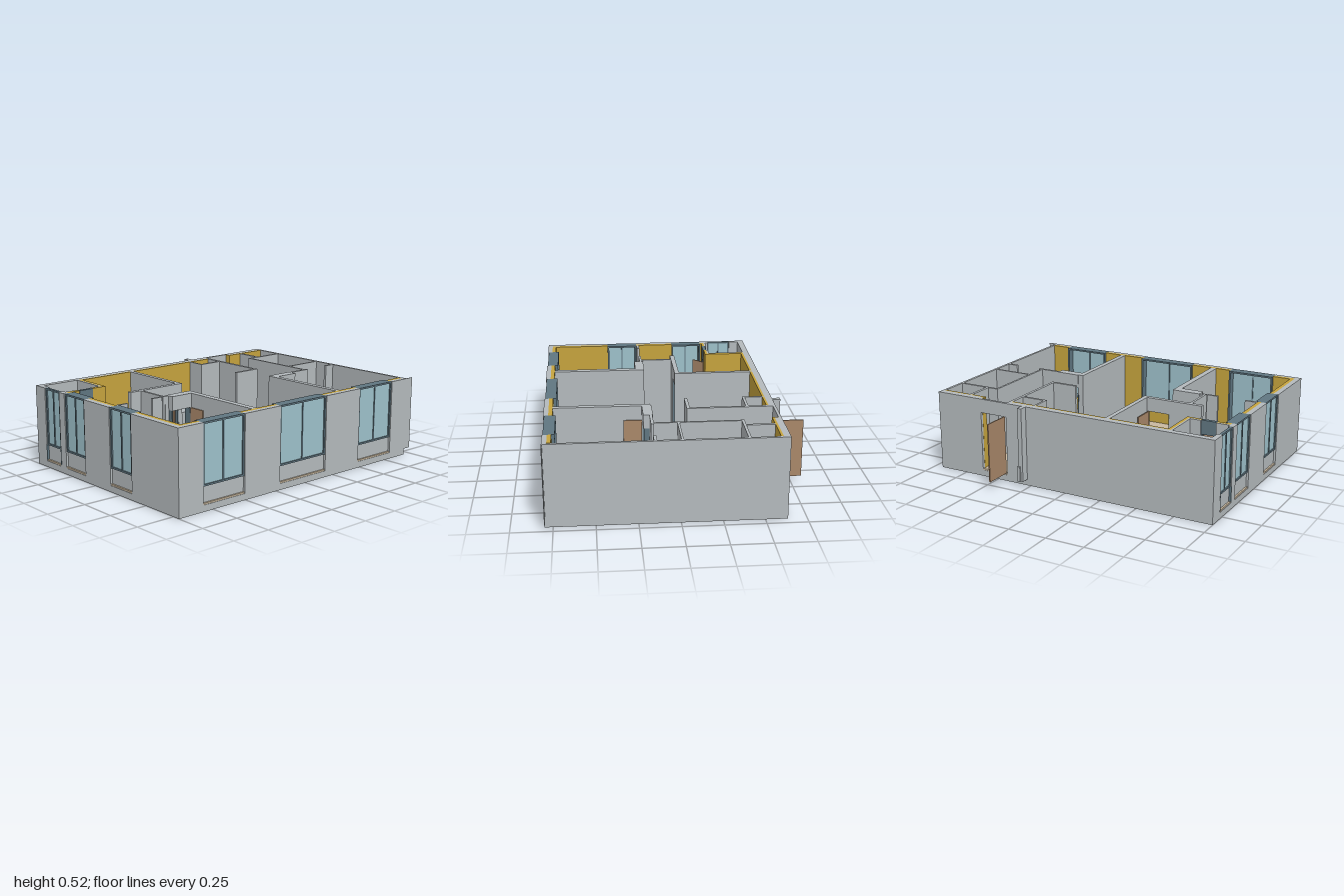
import * as THREE from 'three';

const mat = (name, color) => {
  const m = new THREE.MeshStandardMaterial({ color });
  m.name = name;
  return m;
};

const FLOOR = 0.05, TOP = 0.52, HEAD = 0.43, SILL = 0.147;

export function createModel() {
  const concrete = mat('concrete grey', 0xb4babd);
  const insulation = mat('insulation yellow', 0xc6a43e);
  const flooring = mat('floor tan', 0xc9b9a0);
  const glass = mat('window glass', 0x9ec1cb);
  const frame = mat('frame slate', 0x607681);
  const wood = mat('door brown', 0xa9886a);

  const model = new THREE.Group();
  model.name = 'apartment';

  // Box given by its limits on each axis
  function box(parent, name, material, x0, x1, y0, y1, z0, z1) {
    const mesh = new THREE.Mesh(new THREE.BoxGeometry(x1 - x0, y1 - y0, z1 - z0), material);
    mesh.position.set((x0 + x1) / 2, (y0 + y1) / 2, (z0 + z1) / 2);
    mesh.name = name;
    parent.add(mesh);
    return mesh;
  }

  function group(name, parent = model) {
    const g = new THREE.Group();
    g.name = name;
    parent.add(g);
    return g;
  }

  // Two-pane window facing local +z
  function windowUnit(parent, x0, x1, front, depth) {
    const g = group('window', parent);
    const t = 0.011, back = front - depth, mid = (x0 + x1) / 2;
    box(g, 'windowHead', frame, x0, x1, TOP - t, TOP, back, front);
    box(g, 'windowSill', frame, x0, x1, SILL, SILL + t, back, front);
    box(g, 'windowJamb', frame, x0, x0 + t, SILL + t, TOP - t, back, front);
    box(g, 'windowJamb', frame, x1 - t, x1, SILL + t, TOP - t, back, front);
    box(g, 'mullion', frame, mid - 0.004, mid + 0.004, SILL + t, TOP - t, front - 0.022, front - 0.003);
    box(g, 'pane', glass, x0 + t, x1 - t, SILL + t, TOP - t, front - 0.016, front - 0.008);
  }

  // Outer wall facing local +z: solid piers between openings, a recessed panel under each window
  function facade(g, from, to, outer, thick, lining, openings) {
    let x = from;
    for (const [a, b] of [...openings, [to, to]]) {
      box(g, 'pier', concrete, x, a, 0.04, TOP, outer - thick, outer);
      const l0 = Math.max(x, lining[0]), l1 = Math.min(a, lining[1]);
      if (l1 > l0) box(g, 'insulation', insulation, l0, l1, FLOOR, TOP, outer - thick - 0.025, outer - thick);
      if (b > a) {
        const lined = a >= lining[0];
        box(g, 'parapet', concrete, a, b, FLOOR, SILL, outer - thick, outer - 0.014);
        if (lined) box(g, 'parapetInsulation', insulation, a, b, FLOOR, SILL, outer - thick - 0.025, outer - thick);
        windowUnit(g, a, b, outer - 0.005, lined ? 0.07 : 0.018);
      }
      x = b;
    }
  }

  // Slab and floor finishes
  box(model, 'slab', concrete, -0.635, 0.8, 0, 0.04, -0.945, 1);
  box(model, 'floor', flooring, -0.632, 0.797, 0.04, FLOOR, -0.942, 0.997);
  box(model, 'bathroomFloor', concrete, -0.388, -0.01, FLOOR, 0.056, -0.927, -0.657);

  // Window walls
  facade(group('frontWall'), -0.635, 0.8, 1, 0.035, [-0.33, 0.77],
    [[-0.53, -0.37], [-0.31, -0.1], [0.16, 0.37]]);
  const side = group('leftWall');
  side.rotation.y = Math.PI / 2;
  facade(side, -0.965, 0.945, 0.8, 0.03, [-0.94, 0.925],
    [[-0.82, -0.505], [-0.22, 0.175], [0.48, 0.795]]);
  box(model, 'wallFin', concrete, 0.795, 0.8, 0.04, TOP, -1, -0.945);

  // Blind walls and entrance
  box(model, 'backWall', concrete, -0.635, 0.77, 0.04, TOP, -0.945, -0.927);
  box(model, 'rightWall', concrete, -0.635, -0.593, 0.04, TOP, -0.927, -0.615);
  box(model, 'rightWall', concrete, -0.635, -0.593, 0.04, TOP, -0.425, 0.965);
  box(model, 'entranceLintel', concrete, -0.635, -0.617, HEAD, TOP, -0.615, -0.425);
  box(model, 'entranceReveal', insulation, -0.617, -0.577, FLOOR, TOP, -0.624, -0.614);
  for (const [a, b] of [[-0.927, -0.624], [-0.405, -0.24], [-0.24, 0.26], [0.29, 0.68]])
    box(model, 'rightInsulation', insulation, -0.593, -0.578, FLOOR, TOP, a, b);
  box(model, 'entranceFin', concrete, -0.685, -0.635, 0.04, TOP, -0.305, -0.275);
  box(model, 'finFoot', concrete, -0.695, -0.675, 0.04, 0.14, -0.31, -0.29);

  // Interior partitions: x0, x1, z0, z1
  const partitions = [
    [-0.593, -0.405, -0.737, -0.717], [-0.405, -0.388, -0.927, -0.645],
    [-0.388, 0, -0.66, -0.645], [-0.014, 0, -0.927, -0.66],
    [0, 0.145, -0.66, -0.645], [0.14, 0.158, -0.675, -0.515],
    [0.14, 0.158, -0.927, -0.857], [0.14, 0.745, -0.355, -0.32],
    [-0.593, -0.08, -0.425, -0.405], [-0.1, -0.08, -0.405, -0.235],
    [-0.467, -0.45, -0.405, -0.235], [-0.593, -0.467, -0.248, -0.235],
    [-0.593, -0.065, 0.26, 0.29], [-0.095, -0.065, 0.45, 0.67],
    [-0.065, 0.155, 0.577, 0.593], [0.137, 0.745, 0.36, 0.4],
    [0.142, 0.158, 0.55, 0.577], [0.142, 0.158, 0.6, 0.675],
    [0.142, 0.158, 0.86, 0.94],
  ];
  const inner = group('partitions');
  for (const [x0, x1, z0, z1] of partitions)
    box(inner, 'partition', concrete, x0, x1, FLOOR, TOP, z0, z1);

  // Interior doorways: lintel with frame posts
  for (const [x0, x1, z0, z1] of [
    [0.135, 0.195, -0.515, -0.355], [0.135, 0.195, 0.4, 0.55], [-0.095, -0.065, 0.29, 0.45],
  ]) {
    const g = group('doorway');
    box(g, 'lintel', concrete, x0, x1, HEAD, TOP, z0, z1);
    for (const z of [z0, z1 - 0.006])
      box(g, 'doorPost', frame, x0 + 0.004, x1 - 0.004, FLOOR, HEAD, z, z + 0.006);
  }

  // Open door leaves
  for (const [x0, x1, z] of [[-0.81, -0.63, -0.44], [0.195, 0.31, -0.365], [0.195, 0.31, 0.405], [-0.24, -0.095, 0.302]])
    box(model, 'doorLeaf', wood, x0, x1, FLOOR, HEAD, z - 0.004, z + 0.004);

  // Balcony enclosure with its glazed door
  const balcony = group('balcony');
  box(balcony, 'balconyInsulation', insulation, -0.593, -0.32, FLOOR, TOP, 0.68, 0.7);
  box(balcony, 'balconyWall', concrete, -0.593, -0.337, FLOOR, TOP, 0.7, 0.712);
  for (const [a, b] of [[0.7, 0.78], [0.88, 0.965]]) {
    box(balcony, 'balconyInsulation', insulation, -0.337, -0.32, FLOOR, TOP, a, b);
    box(balcony, 'balconyWall', concrete, -0.35, -0.337, FLOOR, TOP, Math.max(a, 0.712), b);
  }
  box(balcony, 'doorHead', frame, -0.34, -0.316, HEAD, TOP, 0.78, 0.88);
  for (const z of [0.78, 0.872])
    box(balcony, 'doorPost', frame, -0.34, -0.316, FLOOR, HEAD, z, z + 0.008);
  for (const x of [-0.535, -0.371])
    box(balcony, 'panelTrim', frame, x, x + 0.006, FLOOR, SILL, 0.985, 1.001);
  const leaf = box(balcony, 'balconyDoorLeaf', wood, -0.05, 0.05, FLOOR, HEAD, -0.004, 0.004);
  leaf.position.set(-0.285, (FLOOR + HEAD) / 2, 0.815);
  leaf.rotation.y = -Math.PI / 4;

  // Kitchen counter
  box(model, 'kitchenCounter', concrete, -0.578, -0.46, FLOOR, 0.2, -0.235, 0.26);

  // Bathroom fixtures
  const bath = group('bathroomFixtures');
  box(bath, 'shelf', concrete, -0.255, -0.03, 0.2, 0.215, -0.915, -0.895);
  box(bath, 'washstand', concrete, -0.24, -0.15, 0.15, 0.2, -0.885, -0.815);
  box(bath, 'tap', frame, -0.198, -0.192, 0.2, 0.225, -0.89, -0.86);
  const oval = (name, x, y, z, rx, rz, h) => {
    const m = new THREE.Mesh(new THREE.CylinderGeometry(1, 0.7, 1, 20), concrete);
    m.scale.set(rx, h, rz);
    m.position.set(x, y, z);
    m.name = name;
    bath.add(m);
  };
  oval('basin', -0.195, 0.2, -0.845, 0.038, 0.026, 0.012);
  oval('toiletBowl', -0.082, 0.09, -0.835, 0.034, 0.047, 0.07);
  oval('toiletSeat', -0.082, 0.128, -0.835, 0.026, 0.038, 0.008);
  box(bath, 'toiletTank', concrete, -0.115, -0.05, 0.1, 0.2, -0.895, -0.875);

  return model;
}
